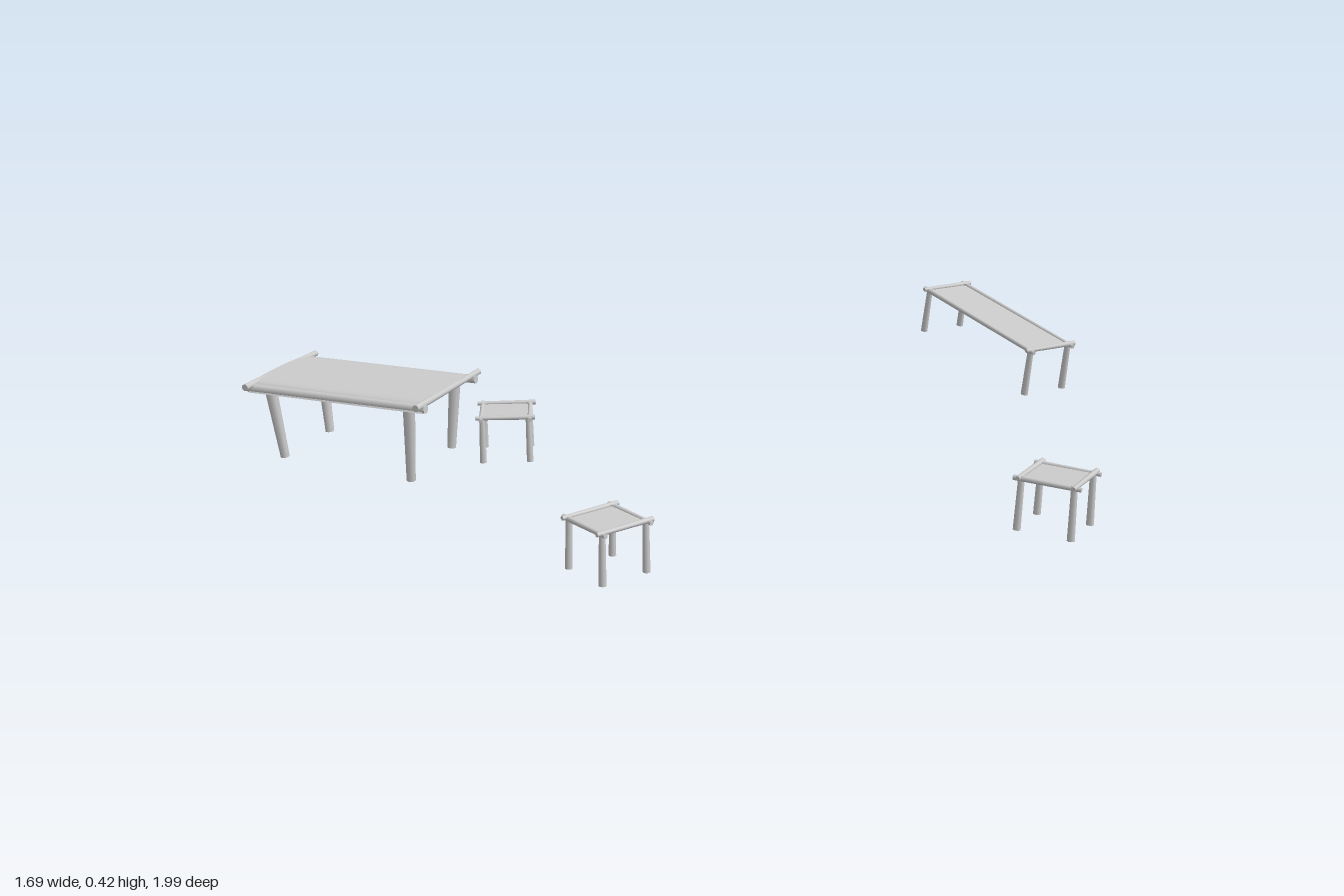
import * as THREE from 'three';

const material = new THREE.MeshStandardMaterial({ color: 0xcccccc, side: THREE.DoubleSide });
const UP = new THREE.Vector3(0, 1, 0);

// Tapered round stick from point a to point b
function stick(parent, name, a, b, ra, rb = ra) {
  const from = new THREE.Vector3(...a), to = new THREE.Vector3(...b);
  const dir = to.clone().sub(from);
  const mesh = new THREE.Mesh(new THREE.CylinderGeometry(rb, ra, dir.length(), 10), material);
  mesh.name = name;
  mesh.position.copy(from).add(to).multiplyScalar(0.5);
  mesh.quaternion.setFromUnitVectors(UP, dir.normalize());
  parent.add(mesh);
}

function place(group, name, x, y, z, turn, pitch = 0, roll = 0) {
  group.name = name;
  group.rotation.order = 'YXZ';
  group.rotation.set(...[pitch, turn, roll].map(THREE.MathUtils.degToRad));
  group.position.set(x, y, z);
  return group;
}

// Stick frame with a flat seat set between the rails; w and l are half sizes
function seatFrame(w, l, height) {
  const g = new THREE.Group();
  const over = 0.014, r = 0.0065;
  for (const s of [-1, 1]) {
    stick(g, 'sideRail', [s * w, height - 0.006, -l - over], [s * w, height - 0.006, l + over], r, r * 0.8);
    stick(g, 'endRail', [-w - over, height - 0.003, s * l], [w + over, height - 0.003, s * l], r * 0.8, r);
    for (const t of [-1, 1]) {
      stick(g, 'leg', [s * (w - 0.002), 0, t * (l - 0.001)], [s * (w - 0.003), height, t * (l - 0.003)], 0.009, 0.0075);
    }
  }
  const seat = new THREE.Mesh(new THREE.BoxGeometry(2 * w, 0.003, 2 * l), material);
  seat.name = 'seat';
  seat.position.y = height - 0.006;
  g.add(seat);
  return g;
}

// Large table with a covering stretched over the long rails
function makeTable() {
  const g = new THREE.Group();
  for (const s of [-1, 1]) {
    stick(g, 'sideRail', [s * 0.128, 0.2, -0.26], [s * 0.128, 0.2, 0.26], 0.012, 0.011);
    stick(g, 'endRail', [-0.16, 0.211, s * 0.25], [0.16, 0.211, s * 0.25], 0.009, 0.008);
    for (const t of [-1, 1]) {
      const foot = s < 0 && t > 0 ? -0.005 : 0.012;
      stick(g, 'leg', [s * 0.104, foot, t * 0.188], [s * 0.116, 0.21, t * 0.205], 0.0115, 0.0155);
    }
  }
  // gently arched covering whose long edges fold down around the rails
  const geo = new THREE.PlaneGeometry(0.282, 0.51, 20, 1);
  geo.rotateX(-Math.PI / 2);
  const p = geo.attributes.position;
  for (let i = 0; i < p.count; i++) {
    const k = Math.abs(p.getX(i)) / 0.141;
    p.setY(i, 0.221 - 0.007 * k * k - 0.022 * k ** 16);
  }
  geo.computeVertexNormals();
  const top = new THREE.Mesh(geo, material);
  top.name = 'tableTop';
  g.add(top);
  return g;
}

export function createModel() {
  const model = new THREE.Group();
  model.name = 'furnitureSet';

  model.add(place(makeTable(), 'table', -0.573, 0.015, -0.692, 30, -0.5, 0.8));

  // Three small stools, each turned its own way
  const stools = [
    [-0.26, 0.002, -0.513, -34, 0, 0],
    [-0.51, 0.013, 0.298, 2, 0, -1],
    [0.272, 0.109, 0.897, 20, 0, -2],
  ];
  for (const s of stools) model.add(place(seatFrame(0.063, 0.063, 0.125), 'stool', ...s));

  // Long bench on a slope
  model.add(place(seatFrame(0.061, 0.219, 0.123), 'bench', 0.739, 0.265, 0.271, -10, 7.6));

  return model;
}
